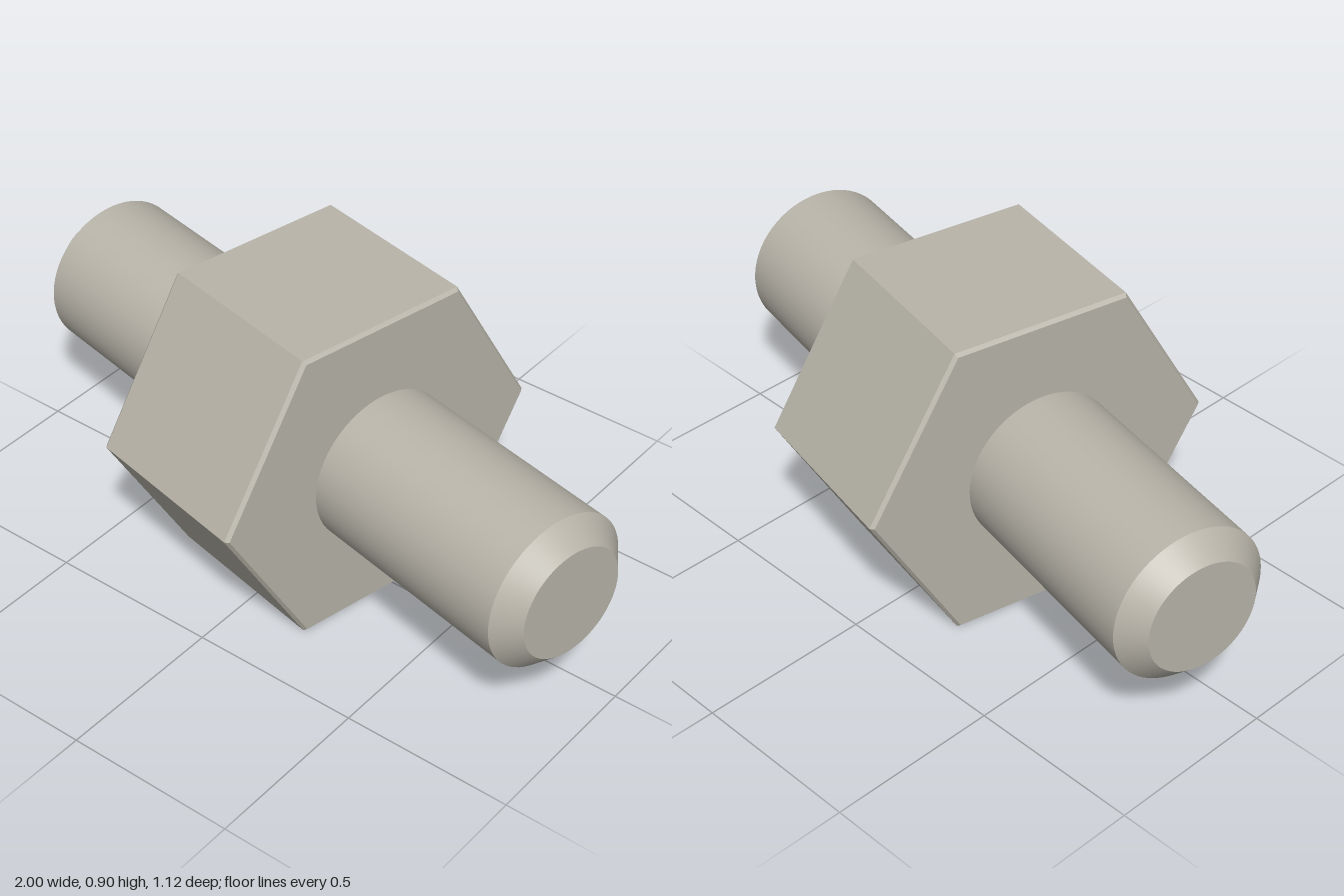
import * as THREE from 'three';
import { toCreasedNormals } from 'three/addons/utils/BufferGeometryUtils.js';

// Solid turned about the x axis, with equal chamfers on both ends
function chamferedBar(radius, halfLength, chamfer, sides, creaseAngle) {
  const profile = [
    [0, -halfLength],
    [radius - chamfer, -halfLength],
    [radius, -halfLength + chamfer],
    [radius, halfLength - chamfer],
    [radius - chamfer, halfLength],
    [0, halfLength],
  ].map(([r, y]) => new THREE.Vector2(r, y));
  const geometry = new THREE.LatheGeometry(profile, sides);
  geometry.rotateZ(-Math.PI / 2);
  return toCreasedNormals(geometry, creaseAngle);
}

export function createModel() {
  const steel = new THREE.MeshStandardMaterial({ color: 0xb8b4a9 });
  steel.name = 'warm grey steel';

  const model = new THREE.Group();
  model.name = 'hexFitting';

  // Round shaft running right through the fitting
  const shaft = new THREE.Mesh(chamferedBar(0.224, 0.988, 0.062, 64, 0.5), steel);
  shaft.name = 'shaft';

  // Hexagonal collar, flats at top and bottom
  const collar = new THREE.Mesh(chamferedBar(0.52, 0.266, 0.01, 6, 0.1), steel);
  collar.name = 'hexCollar';

  // The whole fitting is turned slightly about the vertical
  model.add(shaft, collar);
  for (const part of [shaft, collar]) {
    part.position.y = 0.45;
    part.rotation.y = THREE.MathUtils.degToRad(-12);
  }
  return model;
}
